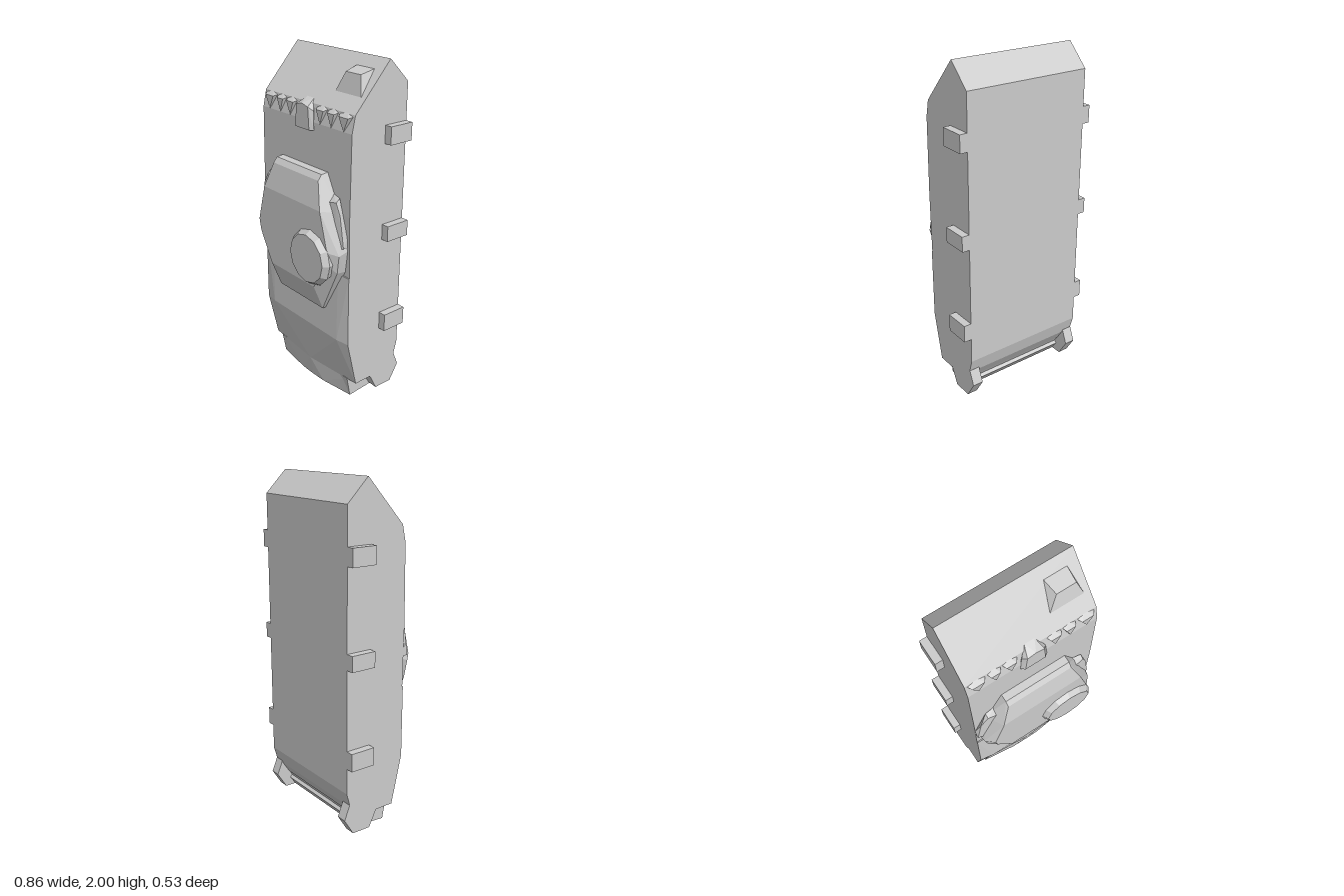
import * as THREE from 'three';
import { ConvexGeometry } from 'three/addons/geometries/ConvexGeometry.js';

const material = new THREE.MeshStandardMaterial({ color: 0xcccccc, flatShading: true });

export function createModel() {
  const model = new THREE.Group();

  function add(name, geometry) {
    const mesh = new THREE.Mesh(geometry, material);
    mesh.name = name;
    model.add(mesh);
    return mesh;
  }
  // Solid hull around a few corner points
  const solid = (name, pts) =>
    add(name, new ConvexGeometry(pts.map(p => new THREE.Vector3(...p))));
  // Same, with every point mirrored across x
  const mirrored = (name, pts) =>
    solid(name, pts.flatMap(([x, y, z]) => [[x, y, z], [-x, y, z]]));
  // Side profile given as [z, y], extruded along x and centred at cx
  function slab(name, profile, width, cx = 0) {
    const shape = new THREE.Shape(profile.map(p => new THREE.Vector2(...p)));
    const g = new THREE.ExtrudeGeometry(shape, { depth: width, bevelEnabled: false });
    g.translate(0, 0, -width / 2).rotateY(-Math.PI / 2).translate(cx, 0, 0);
    return add(name, g);
  }

  // Main hull
  slab('hull', [
    [-0.12, 2], [-0.25, 1.87], [-0.25, 0.29], [-0.225, 0.2], [-0.18, 0.13],
    [0.07, 0.13], [0.13, 0.42], [0.135, 0.84], [0.14, 1.2], [0.133, 1.65], [0.112, 1.745],
  ], 0.77);

  // Nose between the rear corners, with a ledge at the back
  slab('noseCore', [
    [-0.2, 0.17], [-0.16, 0.1], [-0.175, 0.085], [-0.13, 0.025],
    [0.06, 0.008], [0.085, 0.135], [0, 0.2],
  ], 0.64);

  // Bowed front plate and its lower lip
  mirrored('frontPlate', [
    [0.385, 0.13, 0.074], [0, 0.13, 0.107], [0.385, 0.42, 0.14], [0.3, 0.42, 0.154],
    [0.385, 0.84, 0.14], [0.3, 0.84, 0.146], [0.385, 0.84, 0.05], [0.385, 0.13, 0.02],
  ]);
  mirrored('lowerLip', [
    [0.1, 0.002, 0.085], [0, 0, 0.086], [0.32, 0.008, 0.06], [0.32, 0.13, 0.078],
    [0, 0.13, 0.107], [0.32, 0.13, -0.1], [0.32, 0.028, -0.1],
  ]);

  for (const s of [-1, 1]) {
    // Corner horns at the lower end
    slab('cornerHorn', [
      [-0.23, 0.215], [-0.265, 0.13], [-0.205, 0.032], [-0.09, 0.032],
      [-0.04, 0.131], [-0.1, 0.2],
    ], 0.064, s * 0.353);

    // Side lugs
    for (const [y, h] of [[1.61, 0.1], [1.055, 0.09], [0.495, 0.105]]) {
      const lug = add('sideLug', new THREE.BoxGeometry(0.06, h, 0.152));
      lug.position.set(s * 0.4, y, -0.174);
    }

    // Launcher clusters on the turret flanks
    const reach = s < 0 ? 0.385 : 0.367;
    solid('launcher', [
      [0.25, 1.3, 0.14], [0.31, 1.29, 0.145], [0.31, 1.27, 0.17], [reach - 0.03, 1.2, 0.165],
      [reach, 1.08, 0.14], [reach, 1.02, 0.165], [0.3, 1.0, 0.18], [0.25, 1.26, 0.178],
      [reach, 1.02, 0.135],
    ].map(([x, y, z]) => [s * x, y, z]));

    // Faceted ridges along the deck break
    for (const [x, w] of [[0.13, 0.05], [0.22, 0.045], [0.32, 0.06]]) {
      solid('deckRidge', [
        [s * (x - w), 1.74, 0.1], [s * (x + w), 1.74, 0.1], [s * x, 1.755, 0.1],
        [s * (x - w * 0.6), 1.725, 0.137], [s * (x + w * 0.6), 1.725, 0.137],
        [s * x, 1.65, 0.135], [s * x, 1.65, 0.11],
      ]);
    }
  }

  // Turret: faceted body with sloping cheeks
  mirrored('turret', [
    [0.2, 1.405, 0.13], [0.2, 1.4, 0.18], [0.2, 1.37, 0.203],
    [0.2, 1.22, 0.237], [0.253, 1.22, 0.237], [0.315, 1.0, 0.237],
    [0.3, 0.93, 0.237], [0.2, 0.75, 0.237], [0.2, 0.59, 0.172], [0.2, 0.59, 0.13],
    [0.31, 1.2, 0.13], [0.37, 1.0, 0.135], [0.36, 0.98, 0.19],
    [0.35, 0.87, 0.135], [0.34, 0.87, 0.185],
  ]);

  // Cupola: tapered lid on a straight collar
  const lid = add('cupolaLid', new THREE.CylinderGeometry(0.142, 0.166, 0.035, 12));
  lid.rotation.x = Math.PI / 2;
  lid.position.set(0.172, 0.925, 0.252);
  const collar = add('cupolaCollar', new THREE.CylinderGeometry(0.166, 0.15, 0.05, 12));
  collar.rotation.x = Math.PI / 2;
  collar.position.set(0.172, 0.925, 0.21);

  // Hood on the sloping end
  solid('hood', [
    [0.15, 1.82, 0.045], [0.35, 1.82, 0.045], [0.2, 1.925, 0.018], [0.315, 1.925, 0.018],
    [0.185, 1.945, -0.07], [0.32, 1.945, -0.07], [0.185, 1.9, -0.07], [0.32, 1.9, -0.07],
  ]);

  // Central block at the deck break
  mirrored('centralBlock', [
    [0.08, 1.605, 0.12], [0.08, 1.605, 0.135], [0.06, 1.605, 0.152], [0.05, 1.73, 0.152],
    [0.07, 1.71, 0.13], [0, 1.742, 0.152], [0.03, 1.768, 0.09],
  ]);

  return model;
}
